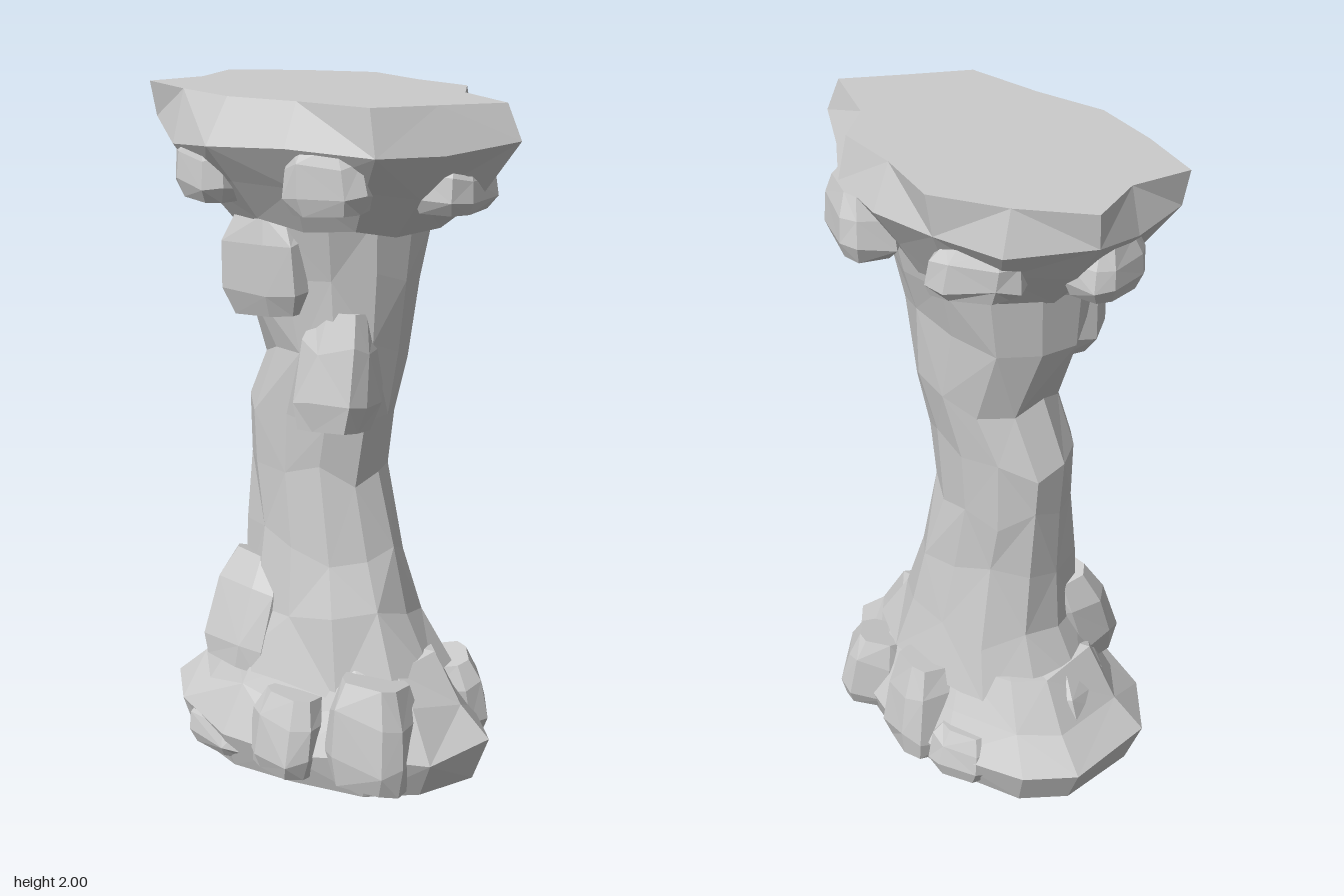
import * as THREE from 'three';

const stone = new THREE.MeshStandardMaterial({ color: 0xcbcbcb, flatShading: true });
stone.name = 'grey stone';

// Small seeded generator giving -1..1
function seeded(seed) {
  let s = seed * 7919 + 17;
  return () => {
    s = (s * 16807) % 2147483647;
    return (s / 2147483647) * 2 - 1;
  };
}

// Skin a stack of rings (bottom to top, each running +x towards +z) and cap both ends
function loft(rings) {
  const n = rings[0].length, pos = [], index = [];
  rings.forEach(r => r.forEach(p => pos.push(...p)));
  for (let i = 0; i < rings.length - 1; i++) {
    for (let j = 0; j < n; j++) {
      const a = i * n + j, b = i * n + (j + 1) % n, c = a + n, d = b + n;
      if ((i + j) % 2) index.push(a, c, b, b, c, d);
      else index.push(a, c, d, a, d, b);
    }
  }
  for (const [i, top] of [[0, false], [rings.length - 1, true]]) {
    const k = pos.length / 3;
    for (let q = 0; q < 3; q++) pos.push(rings[i].reduce((s, p) => s + p[q], 0) / n);
    for (let j = 0; j < n; j++) {
      const a = i * n + j, b = i * n + (j + 1) % n;
      if (top) index.push(k, b, a); else index.push(k, a, b);
    }
  }
  const g = new THREE.BufferGeometry();
  g.setAttribute('position', new THREE.Float32BufferAttribute(pos, 3));
  g.setIndex(index);
  const flat = g.toNonIndexed();
  flat.computeVertexNormals();
  return flat;
}

function addMesh(group, name, geometry) {
  const m = new THREE.Mesh(geometry, stone);
  m.name = name;
  group.add(m);
  return m;
}

// Leaning shaft: y, min x, max x, min z, max z
const SHAFT = [
  [0.30, -0.40, 0.33, -0.27, 0.28],
  [0.48, -0.31, 0.23, -0.22, 0.22],
  [0.68, -0.30, 0.18, -0.185, 0.18],
  [0.90, -0.31, 0.12, -0.175, 0.16],
  [1.08, -0.325, 0.15, -0.18, 0.16],
  [1.27, -0.25, 0.18, -0.20, 0.165],
  [1.48, -0.355, 0.21, -0.20, 0.18],
  [1.64, -0.37, 0.225, -0.24, 0.21],
  [1.78, -0.42, 0.27, -0.28, 0.25],
];

function shaftGeometry() {
  const rnd = seeded(5), n = 12;
  return loft(SHAFT.map(([y, x0, x1, z0, z1]) => Array.from({ length: n }, (_, j) => {
    const t = j / n * Math.PI * 2, k = j % 3 ? 1.035 + rnd() * 0.06 : 1;
    return [(x0 + x1) / 2 + Math.cos(t) * k * (x1 - x0) / 2,
      y + (j % 3 ? rnd() * 0.04 : 0),
      (z0 + z1) / 2 + Math.sin(t) * k * (z1 - z0) / 2];
  })));
}

// Crown outline on the flat top, and the overhanging edge beneath: x, z / x, y, z
const TOP = [[0.52, -0.02], [0.40, 0.13], [0.285, 0.28], [0.05, 0.285], [-0.165, 0.31], [-0.37, 0.25],
  [-0.565, 0.17], [-0.51, 0], [-0.555, -0.18], [-0.37, -0.30], [-0.16, -0.385], [0.04, -0.31], [0.235, -0.27], [0.315, -0.135]];
const EDGE = [[0.56, 1.9, -0.03], [0.43, 1.87, 0.14], [0.31, 1.87, 0.29], [0.05, 1.88, 0.34], [-0.19, 1.87, 0.375], [-0.38, 1.85, 0.29],
  [-0.55, 1.9, 0.16], [-0.54, 1.87, 0], [-0.55, 1.9, -0.17], [-0.37, 1.87, -0.33], [-0.17, 1.88, -0.37], [0.05, 1.87, -0.36], [0.24, 1.88, -0.30], [0.38, 1.9, -0.17]];

function crownGeometry() {
  const rnd = seeded(9);
  const under = (k, y) => EDGE.map(p => [-0.05 + (p[0] + 0.05) * k, y + rnd() * 0.02, p[2] * k]);
  return loft([under(0.6, 1.64), under(0.8, 1.75), EDGE, TOP.map(([x, z]) => [x, 2, z])]);
}

// Flared foot outline at its widest: x, y, z
const FOOT = [[0.505, 0.14, -0.03], [0.43, 0.11, 0.17], [0.29, 0.14, 0.29], [0.04, 0.10, 0.34], [-0.19, 0.11, 0.355], [-0.41, 0.14, 0.275],
  [-0.555, 0.14, 0.12], [-0.535, 0.12, -0.16], [-0.42, 0.12, -0.28], [-0.16, 0.10, -0.34], [0.08, 0.12, -0.34], [0.31, 0.11, -0.25]];

function footGeometry() {
  const rnd = seeded(3);
  const ring = (k, y, j) => FOOT.map(p => [-0.03 + (p[0] + 0.03) * k, y + rnd() * j, p[2] * k]);
  return loft([ring(0.9, 0, 0), FOOT, ring(0.82, 0.235, 0.03), ring(0.65, 0.36, 0.03)]);
}

// Chipped block: rounded-square rings with a tilted, narrower top and a bevelled base
function boulderGeometry(w, h, d, seed) {
  const rnd = seeded(seed), n = 8;
  const prof = [[-0.5, 0.82], [-0.27, 1], [0.2, 0.94], [0.5, 0.7]];
  const box = c => Math.sign(c) * Math.abs(c) ** 0.6;
  const off = rnd() * 0.25, tilt = rnd() * 0.12, shift = rnd() * 0.08;
  const k = Array.from({ length: n }, () => 1 + rnd() * 0.08);
  return loft(prof.map(([v, s]) => k.map((q, j) => {
    const t = (j + 0.5) / n * Math.PI * 2 + off, e = s * q + rnd() * 0.04;
    const x = box(Math.cos(t)) * e / 2, z = box(Math.sin(t)) * e / 2;
    return [(x + shift * v) * w, (v + tilt * x + (Math.abs(v) < 0.4 ? rnd() * 0.07 : 0)) * h, z * d];
  })));
}

// Boulders: centre x, y, z, then width, height, depth, turn about y, backward lean
const FOOT_BOULDERS = [
  [0.015, 0.155, 0.27, 0.24, 0.24, 0.22, 0, -0.1],
  [0.25, 0.185, 0.205, 0.26, 0.31, 0.22, 0.35, -0.12],
  [-0.24, 0.09, 0.235, 0.28, 0.14, 0.20, -0.2, -0.1],
  [-0.35, 0.22, 0.02, 0.24, 0.22, 0.18, -1.5, -0.3],
  [0.25, 0.16, -0.215, 0.20, 0.24, 0.20, 2.3, -0.15],
  [0.0, 0.185, -0.26, 0.22, 0.31, 0.20, 2.9, -0.1],
  [-0.17, 0.10, -0.26, 0.22, 0.16, 0.18, 3.4, -0.1],
];
const SHAFT_BOULDERS = [
  [-0.22, 0.44, 0.15, 0.28, 0.34, 0.18, -0.15, -0.3],
  [-0.145, 1.52, 0.13, 0.32, 0.29, 0.21, -0.1, 0.05],
  [0.065, 1.22, 0.105, 0.22, 0.34, 0.19, 0.15, -0.15],
];
const CROWN_BOULDERS = [
  [-0.275, 1.795, 0.235, 0.23, 0.18, 0.20, -0.35, 0],
  [0.13, 1.80, 0.245, 0.26, 0.19, 0.19, 0.15, 0],
  [0.36, 1.77, -0.02, 0.25, 0.14, 0.20, 1.57, 0],
  [0.20, 1.79, -0.26, 0.28, 0.18, 0.18, 2.6, 0],
  [-0.23, 1.78, -0.26, 0.26, 0.15, 0.19, 3.6, 0],
  [-0.46, 1.78, -0.03, 0.22, 0.15, 0.17, -1.57, 0],
];

function boulders(name, list, seed) {
  const g = new THREE.Group();
  g.name = name;
  list.forEach(([x, y, z, w, h, d, turn, lean], i) => {
    const m = addMesh(g, 'boulder' + (i + 1), boulderGeometry(w, h, d, seed + i));
    m.position.set(x, y, z);
    m.rotation.set(lean, turn, 0, 'YXZ');
  });
  return g;
}

export function createModel() {
  const model = new THREE.Group();
  model.name = 'rockPillar';
  addMesh(model, 'foot', footGeometry());
  addMesh(model, 'shaft', shaftGeometry());
  addMesh(model, 'crown', crownGeometry());
  model.add(
    boulders('footBoulders', FOOT_BOULDERS, 11),
    boulders('shaftBoulders', SHAFT_BOULDERS, 31),
    boulders('crownBoulders', CROWN_BOULDERS, 51),
  );
  return model;
}
